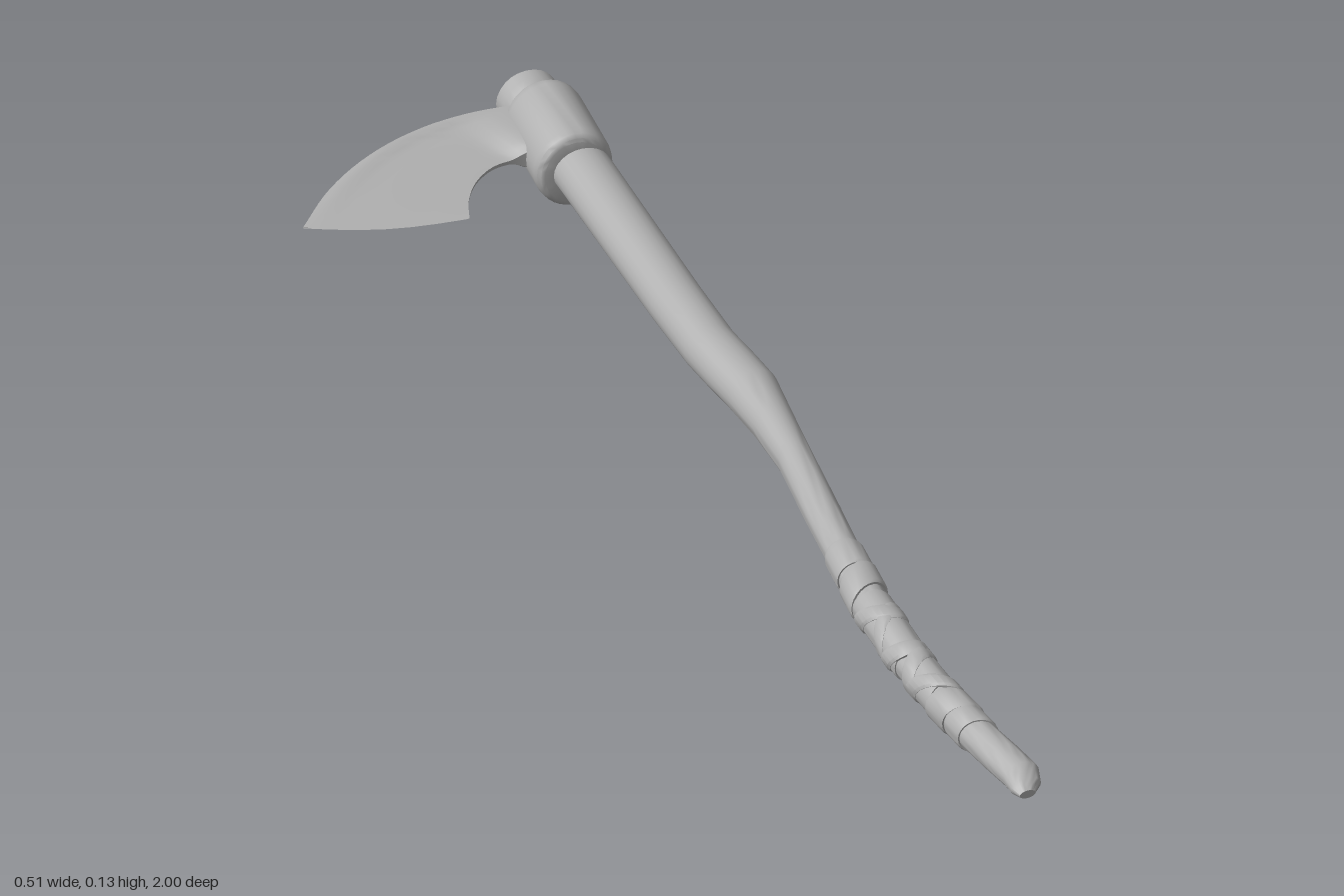
import * as THREE from 'three';
import { toCreasedNormals } from 'three/addons/utils/BufferGeometryUtils.js';

const Y = 0.069; // height of the centre plane

// Skin a list of closed rings (arrays of Vector3) and cap both ends
function loft(rings, crease = 0.6) {
  const centre = (r) => r.reduce((s, p) => s.add(p), new THREE.Vector3()).divideScalar(r.length);
  const n = rings[0].length, pos = [];
  const tri = (...pts) => pts.forEach((p) => pos.push(p.x, p.y, p.z));
  const first = rings[0], last = rings[rings.length - 1];
  const c0 = centre(first), c1 = centre(last);
  for (let j = 0; j < n; j++) {
    const k = (j + 1) % n;
    for (let i = 0; i < rings.length - 1; i++) {
      const a = rings[i], b = rings[i + 1];
      tri(a[j], a[k], b[k]);
      tri(a[j], b[k], b[j]);
    }
    tri(c0, first[k], first[j]);
    tri(c1, last[j], last[k]);
  }
  const g = new THREE.BufferGeometry();
  g.setAttribute('position', new THREE.Float32BufferAttribute(pos, 3));
  return toCreasedNormals(g, crease);
}

// Handle stations: z, centre x, half width, half height
const stations = [
  [-1, 0.193, 0.042, 0.04], [-0.99, 0.193, 0.05, 0.048], [-0.95, 0.194, 0.05, 0.048],
  [-0.94, 0.194, 0.046, 0.042], [-0.75, 0.192, 0.046, 0.041], [-0.4, 0.182, 0.044, 0.041],
  [-0.27, 0.181, 0.043, 0.041], [-0.2, 0.187, 0.044, 0.04], [-0.14, 0.192, 0.043, 0.039],
  [-0.05, 0.188, 0.034, 0.035], [0.05, 0.18, 0.028, 0.031], [0.2, 0.16, 0.029, 0.029],
  [0.3, 0.147, 0.028, 0.029], [0.45, 0.13, 0.029, 0.029], [0.6, 0.124, 0.028, 0.029],
  [0.72, 0.129, 0.027, 0.029], [0.82, 0.138, 0.028, 0.028], [0.9, 0.15, 0.03, 0.027],
  [0.95, 0.157, 0.03, 0.024], [0.98, 0.152, 0.025, 0.016], [1, 0.146, 0.013, 0.007],
];

function handleAt(z) {
  let i = 0;
  while (i < stations.length - 2 && stations[i + 1][0] < z) i++;
  const a = stations[i], b = stations[i + 1];
  const t = THREE.MathUtils.clamp((z - a[0]) / (b[0] - a[0]), 0, 1);
  return a.map((v, k) => v + (b[k] - v) * t);
}

// Ring round the handle, grown by `add`, tilted by `tilt` towards `phase`
function ring(z, add = 0, tilt = 0, phase = 0, n = 24) {
  return Array.from({ length: n }, (_, j) => {
    const a = (j / n) * Math.PI * 2;
    const zz = z + tilt * Math.cos(a - phase);
    const [, x, w, h] = handleAt(zz);
    return new THREE.Vector3(x + (w + add) * Math.cos(a), Y + (h + add) * Math.sin(a), zz);
  });
}

function strap(z0, z1, add, tilt, phase) {
  const e = 0.006;
  return loft([ring(z0, -0.002, tilt, phase), ring(z0, add * 0.6, tilt, phase),
    ring(z0 + e, add, tilt, phase), ring(z1 - e, add, tilt, phase),
    ring(z1, add * 0.6, tilt, phase), ring(z1, -0.002, tilt, phase)]);
}

// Bearded blade: sections run from the socket out to the cutting edge
function bladeGeometry() {
  const curve = (pts) => new THREE.CatmullRomCurve3(pts.map(([x, z]) => new THREE.Vector3(x, Y, z)));
  const spine = curve([[0.17, -0.95], [0.08, -0.962], [-0.01, -0.957], [-0.1, -0.928], [-0.185, -0.877], [-0.257, -0.81]]);
  const beard = curve([[0.17, -0.825], [0.12, -0.838], [0.075, -0.838], [0.035, -0.815], [0.003, -0.775], [-0.016, -0.73]]);
  const across = [0, 0.04, 0.1, 0.16, 0.22, 0.35, 0.5, 0.65, 0.8, 0.92, 1];
  const rings = [];
  for (let i = 0; i <= 24; i++) {
    const u = i / 24, top = spine.getPoint(u), low = beard.getPoint(u);
    const half = 0.022 * (1 - u ** 1.8) + 0.0008;
    const hollow = THREE.MathUtils.smoothstep(u, 0.12, 0.3);
    const side = (v, s) => {
      // thick spine stepping down to a thin, hollowed face
      const face = 1 - 0.3 * THREE.MathUtils.smoothstep(v, 0.1, 0.2) - 0.5 * THREE.MathUtils.smoothstep(v, 0.15, 1);
      const round = v === 0 || v === 1 ? 0.75 : 1;
      const p = top.clone().lerp(low, v);
      const bulge = 0.014 * Math.sin(Math.PI * v) * u ** 4;
      p.x -= bulge * 0.4;
      p.z += bulge;
      p.y += s * half * round * (1 + (face - 1) * hollow);
      return p;
    };
    rings.push([...across.map((v) => side(v, -1)), ...[...across].reverse().map((v) => side(v, 1))]);
  }
  return loft(rings, 0.5);
}

export function createModel() {
  const grey = new THREE.MeshStandardMaterial({ color: 0xb0b0b0 });
  grey.name = 'plain grey';
  const model = new THREE.Group();
  model.name = 'axe';
  const add = (name, geometry, parent = model) => {
    const m = new THREE.Mesh(geometry, grey);
    m.name = name;
    parent.add(m);
    return m;
  };

  // Curved wooden handle, with extra rings for smoothness
  const zs = stations.map((s) => s[0]);
  add('handle', loft(zs.flatMap((z, i) => (i < zs.length - 1 ? [ring(z), ring((z + zs[i + 1]) / 2)] : [ring(z)]))));

  // Grip wrapping: flat bands and crossing straps
  const wrap = new THREE.Group();
  wrap.name = 'gripWrap';
  model.add(wrap);
  [
    [0.31, 0.375, 0.004, 0.004, 0], [0.38, 0.44, 0.006, -0.008, 0.4],
    [0.45, 0.62, 0.003, 0.004, 0], [0.64, 0.72, 0.003, -0.006, 0],
    [0.73, 0.785, 0.006, 0.01, 0.5], [0.785, 0.83, 0.004, 0.006, 0],
    [0.475, 0.51, 0.006, 0.025, 1.0], [0.515, 0.55, 0.005, -0.03, 0.6],
    [0.575, 0.61, 0.006, 0.022, 1.4], [0.625, 0.66, 0.006, -0.02, 0.3],
    [0.675, 0.71, 0.006, 0.028, 0.8],
  ].forEach(([z0, z1, grow, tilt, phase], i) => add('strap' + (i + 1), strap(z0, z1, grow, tilt, phase), wrap));

  // Axe head: rounded socket and blade
  const head = new THREE.Group();
  head.name = 'axeHead';
  model.add(head);
  const profile = [[0.03, -0.082], [0.054, -0.082], [0.06, -0.08], [0.065, -0.073], [0.067, -0.062],
    [0.067, 0.066], [0.065, 0.076], [0.06, 0.082], [0.054, 0.084], [0.03, 0.084]];
  const socket = new THREE.LatheGeometry(profile.map((p) => new THREE.Vector2(...p)), 32);
  socket.rotateX(Math.PI / 2).scale(0.93, 1, 1).rotateY(-0.09);
  add('socket', toCreasedNormals(socket, 0.6), head).position.set(0.19, Y, -0.861);
  add('blade', bladeGeometry(), head);
  return model;
}
